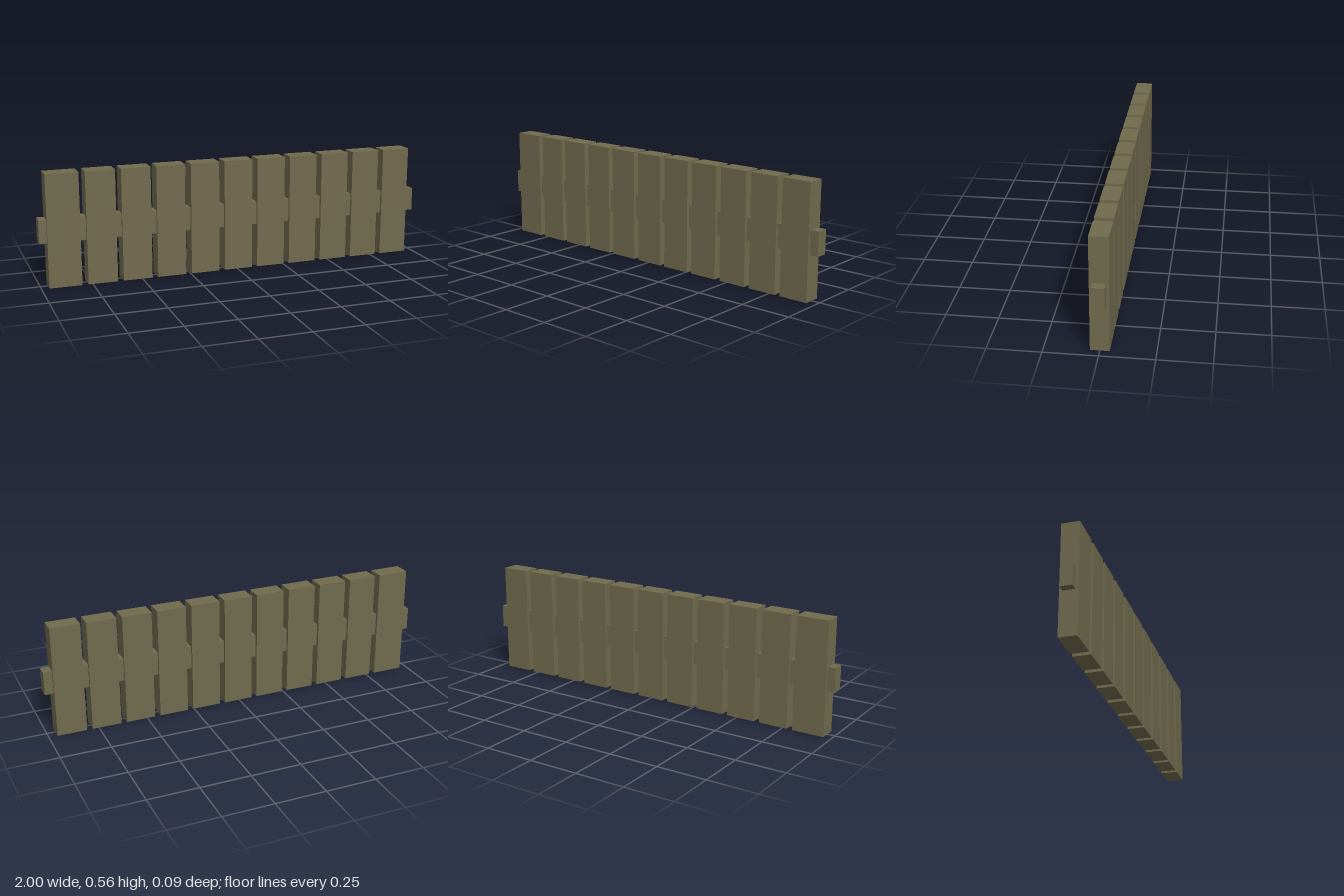
import * as THREE from 'three';

export function createModel() {
  const group = new THREE.Group();
  const wood = new THREE.MeshStandardMaterial({ color: 0x706a4d });
  wood.name = 'olive wood';

  // Box spanning x0..x1 and y0..y1, centred on z
  function addBox(name, x0, x1, y0, y1, depth) {
    const mesh = new THREE.Mesh(new THREE.BoxGeometry(x1 - x0, y1 - y0, depth), wood);
    mesh.position.set((x0 + x1) / 2, (y0 + y1) / 2, 0);
    mesh.name = name;
    group.add(mesh);
  }

  // Horizontal rail running through every slat
  addBox('rail', -1, 1, 0.223, 0.34, 0.06);

  // Wider end slat, then ten evenly spaced slats
  const height = 0.563, depth = 0.088, width = 0.147, pitch = 0.1757;
  addBox('endSlat', -0.962, -0.801, 0, height, depth);
  for (let i = 0; i < 10; i++) {
    const x = -0.771 + i * pitch;
    addBox('slat' + (i + 1), x, x + width, 0, height, depth);
  }
  return group;
}
